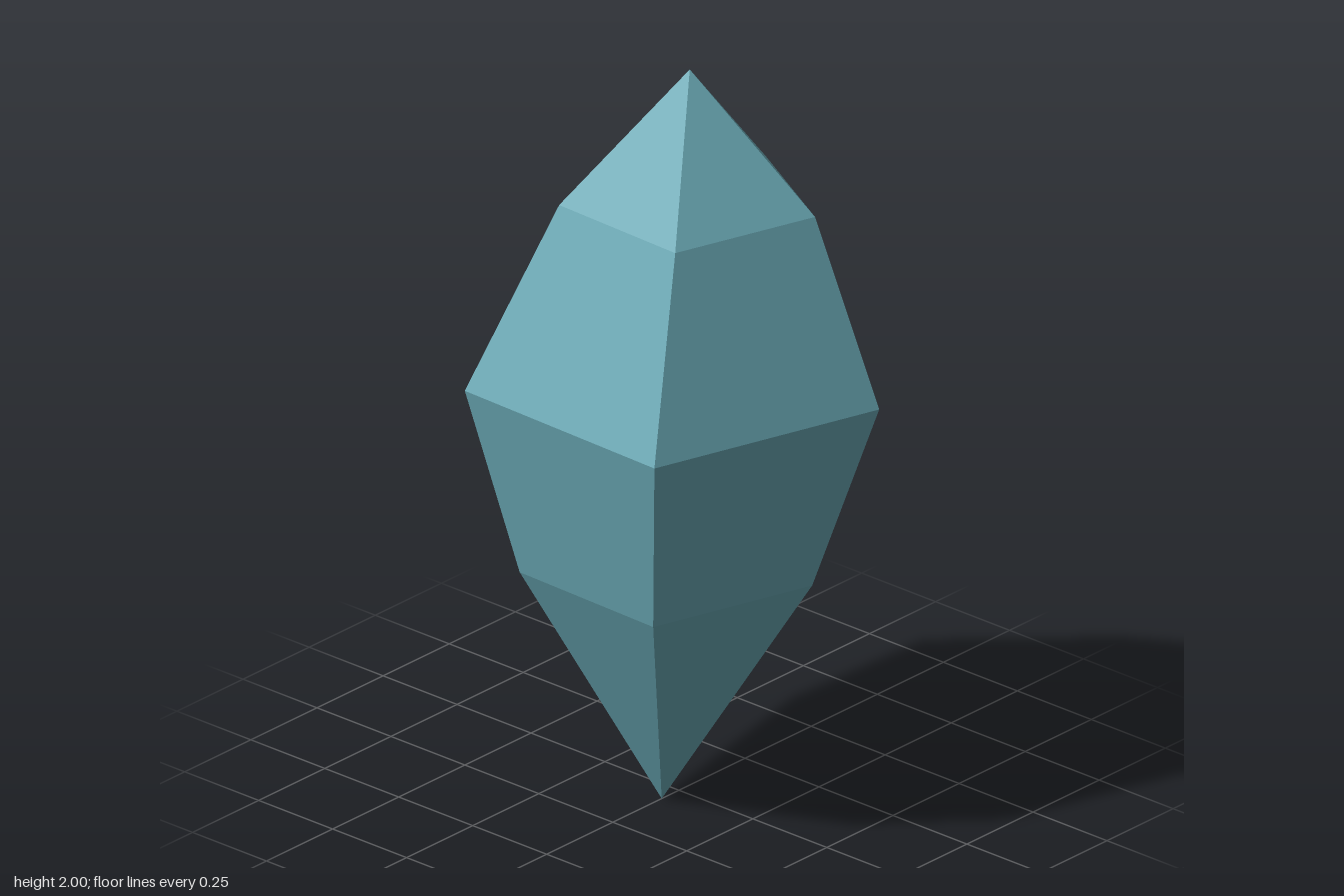
import * as THREE from 'three';

// Height and five [x, z] corners of each ring, from bottom to top
const RINGS = [
  { y: 0.66, pts: [[0.294, 0], [0.088, 0.372], [-0.36, 0.235], [-0.346, -0.229], [0.087, -0.372]] },
  { y: 1.172, pts: [[0.46, 0], [0.169, 0.526], [-0.465, 0.333], [-0.446, -0.325], [0.167, -0.526]] },
  { y: 1.653, pts: [[0.33, 0], [0.15, 0.326], [-0.242, 0.204], [-0.228, -0.201], [0.148, -0.326]] },
];

function facetedGeometry() {
  const bottom = [-0.065, 0, 0];
  const top = [0.041, 2, 0];
  const rings = RINGS.map(({ y, pts }) => pts.map(([x, z]) => [x, y, z]));
  const pos = [];
  const tri = (a, b, c) => pos.push(...a, ...b, ...c);

  for (let i = 0; i < 5; i++) {
    const j = (i + 1) % 5;
    // Lower point
    tri(bottom, rings[0][i], rings[0][j]);
    // Side facets between neighbouring rings
    for (let r = 0; r < rings.length - 1; r++) {
      const lo = rings[r], hi = rings[r + 1];
      tri(lo[i], hi[i], hi[j]);
      tri(lo[i], hi[j], lo[j]);
    }
    // Upper point
    tri(rings[2][i], top, rings[2][j]);
  }

  const geometry = new THREE.BufferGeometry();
  geometry.setAttribute('position', new THREE.Float32BufferAttribute(pos, 3));
  geometry.computeVertexNormals(); // unshared corners give flat facets
  return geometry;
}

export function createModel() {
  const crystalTeal = new THREE.MeshStandardMaterial({ color: 0x6aa9b5 });
  crystalTeal.name = 'crystalTeal';

  const crystal = new THREE.Mesh(facetedGeometry(), crystalTeal);
  crystal.name = 'crystal';

  const model = new THREE.Group();
  model.name = 'crystalShard';
  model.add(crystal);
  return model;
}
